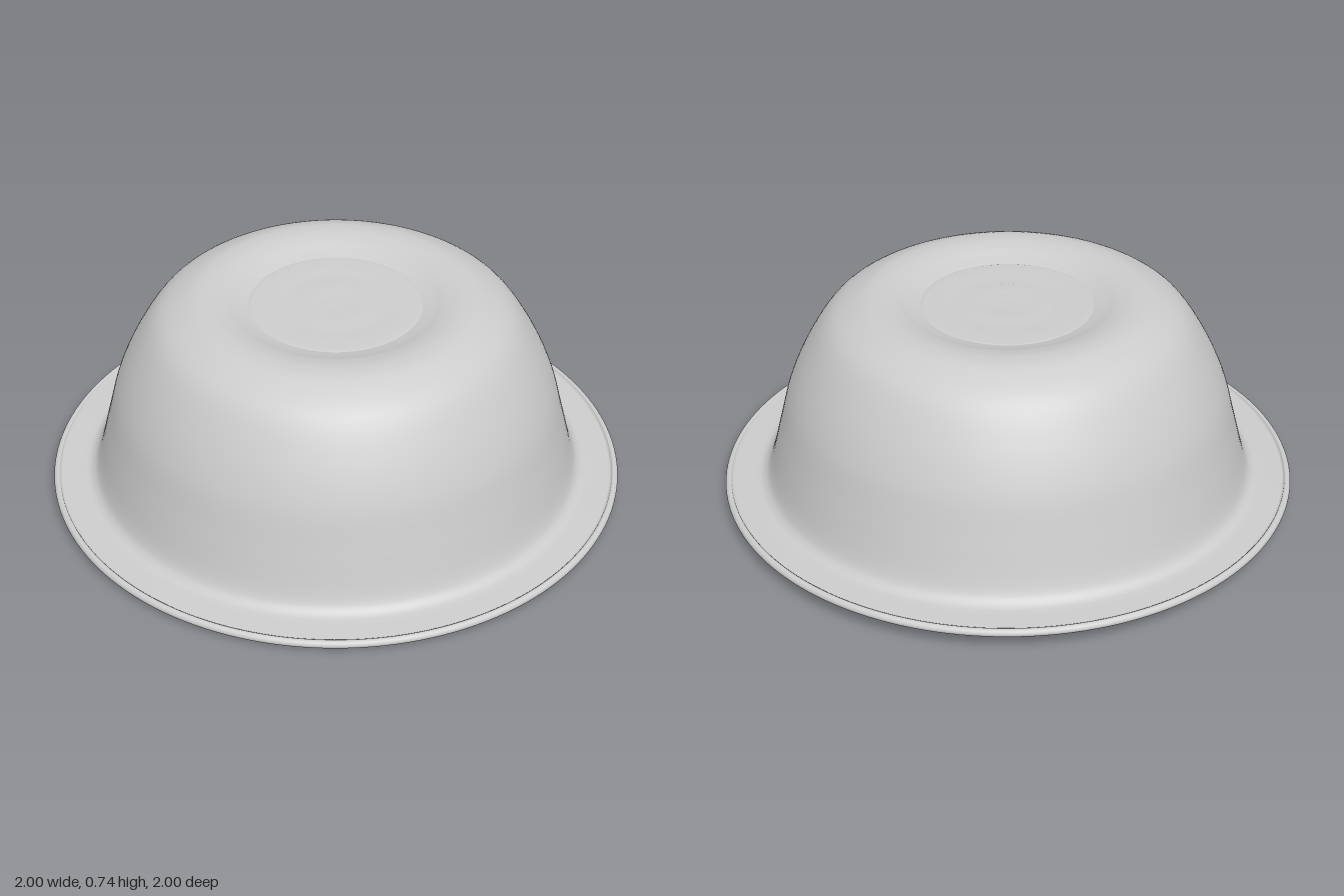
import * as THREE from 'three';

const SEGMENTS = 160;

// Smooth run of [radius, height] points
function curve(points, divisions) {
  return new THREE.SplineCurve(points.map(([r, y]) => new THREE.Vector2(r, y))).getPoints(divisions);
}

function straight(points) {
  return points.map(([r, y]) => new THREE.Vector2(r, y));
}

function lathe(name, profile, material) {
  const mesh = new THREE.Mesh(new THREE.LatheGeometry(profile, SEGMENTS), material);
  mesh.name = name;
  return mesh;
}

export function createModel() {
  const model = new THREE.Group();
  model.name = 'upturnedBowl';
  const grey = new THREE.MeshStandardMaterial({ color: 0xcccccc });
  grey.name = 'light grey';

  const bowl = new THREE.Group();
  bowl.name = 'bowl';

  // Outer wall, rounded shoulder and the slope into the recessed foot
  const outer = curve([
    [0.9, 0.008], [0.865, 0.016], [0.835, 0.06], [0.795, 0.21], [0.755, 0.355], [0.69, 0.495],
    [0.61, 0.61], [0.51, 0.668], [0.44, 0.68], [0.38, 0.672], [0.335, 0.657], [0.295, 0.645],
  ], 66);
  bowl.add(lathe('outerWall', outer, grey));

  // Recessed foot with faint concentric rings
  const foot = straight([
    [0.295, 0.645], [0.285, 0.648], [0.21, 0.648], [0.2, 0.645], [0.145, 0.645],
    [0.135, 0.648], [0.08, 0.648], [0.07, 0.645], [0, 0.645],
  ]);
  bowl.add(lathe('recessedFoot', foot, grey));

  // Hollow inside, from the centre down to the opening
  const inner = curve([
    [0, 0.622], [0.15, 0.622], [0.29, 0.623], [0.37, 0.645], [0.44, 0.655], [0.5, 0.645], [0.59, 0.592],
    [0.665, 0.485], [0.73, 0.35], [0.77, 0.21], [0.81, 0.06], [0.83, 0.005], [0.86, -0.018],
  ], 66);
  bowl.add(lathe('innerWall', inner, grey));

  // Flat flange with a small raised bead at its edge
  const rim = [
    ...straight([[0.86, -0.018], [0.9, -0.021], [0.96, -0.02]]),
    ...curve([[0.975, -0.018], [0.994, -0.01], [1, 0], [0.996, 0.01], [0.987, 0.015], [0.979, 0.013]], 16),
    ...straight([[0.976, 0.006], [0.97, 0.006], [0.9, 0.008]]),
  ];
  bowl.add(lathe('rim', rim, grey));

  // The bowl rests with a slight tilt
  bowl.rotation.set(0.015, 0, 0.023);
  bowl.position.y = 0.048;
  model.add(bowl);
  return model;
}
